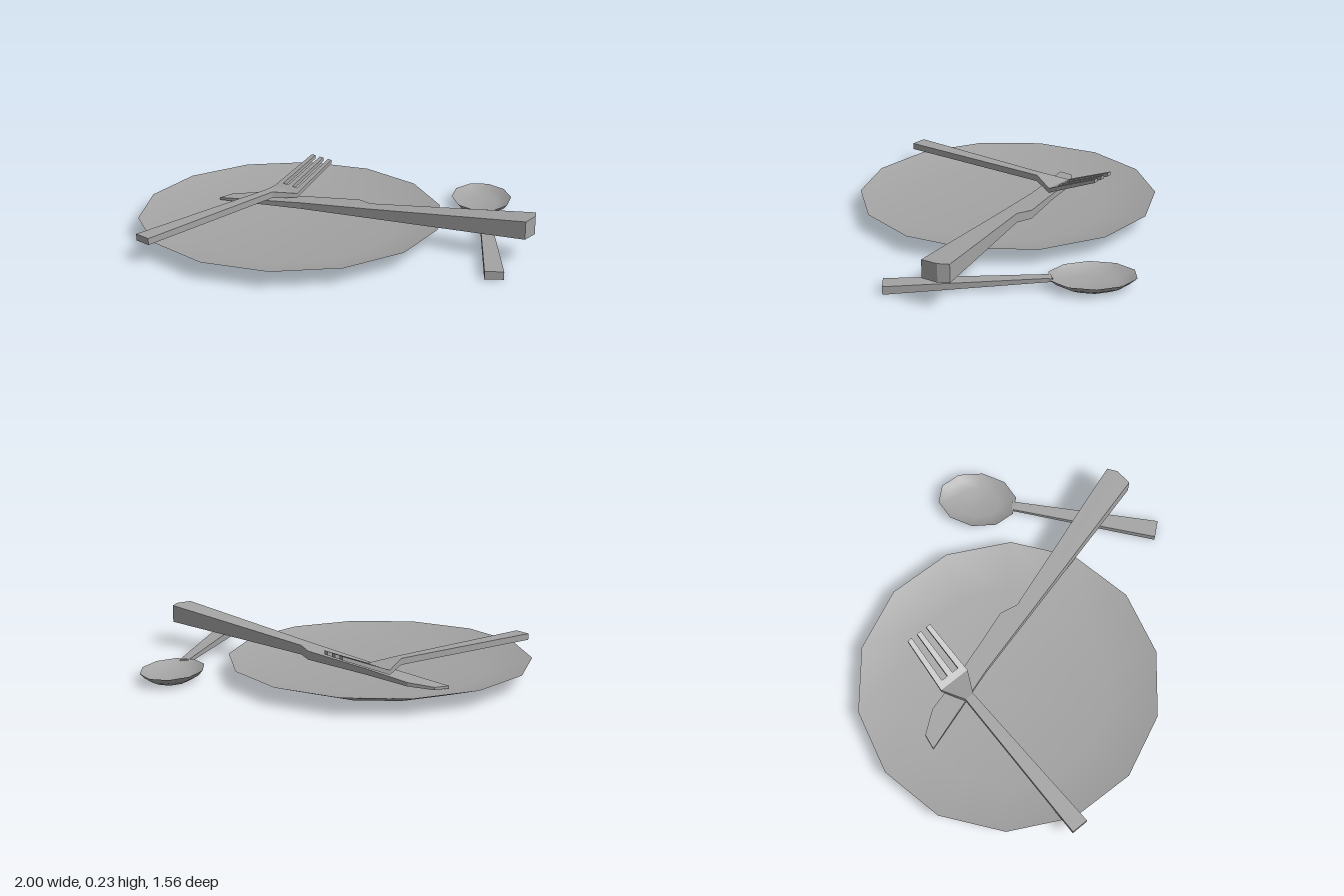
import * as THREE from 'three';

const metal = new THREE.MeshStandardMaterial({ color: 0xa3a3a3 });
metal.name = 'grey';

// Flat-faced slab: [x, z] outline with bottom and top heights from a rule
function slab(name, outline, heights) {
  const pts = outline.map(([x, z]) => new THREE.Vector2(x, -z));
  if (THREE.ShapeUtils.isClockWise(pts)) pts.reverse();
  const at = (i, top) => {
    const p = pts[i % pts.length];
    return [p.x, heights(p.x, -p.y)[top], -p.y];
  };
  const pos = [];
  for (const [a, b, c] of THREE.ShapeUtils.triangulateShape(pts, [])) {
    pos.push(...at(a, 1), ...at(b, 1), ...at(c, 1));
    pos.push(...at(a, 0), ...at(c, 0), ...at(b, 0));
  }
  for (let i = 0; i < pts.length; i++) {
    pos.push(...at(i, 0), ...at(i + 1, 0), ...at(i + 1, 1));
    pos.push(...at(i, 0), ...at(i + 1, 1), ...at(i, 1));
  }
  const geo = new THREE.BufferGeometry();
  geo.setAttribute('position', new THREE.Float32BufferAttribute(pos, 3));
  geo.computeVertexNormals();
  const mesh = new THREE.Mesh(geo, metal);
  mesh.name = name;
  return mesh;
}

// Smooth dish with a sharp rim: separate outer and inner surfaces
function dish(name, outer, inner, sides) {
  const group = new THREE.Group();
  group.name = name;
  [['Outside', outer], ['Inside', inner]].forEach(([part, profile]) => {
    const pts = profile.map(([r, y]) => new THREE.Vector2(r, y));
    const mesh = new THREE.Mesh(new THREE.LatheGeometry(pts, sides, Math.PI / 2), metal);
    mesh.name = name + part;
    group.add(mesh);
  });
  return group;
}

const lerp = THREE.MathUtils.lerp;
// Piecewise linear heights from stations [position, bottom, top]
function along(stations) {
  return (s) => {
    let i = 0;
    while (i < stations.length - 2 && s > stations[i + 1][0]) i++;
    const [a, b] = [stations[i], stations[i + 1]];
    const t = (s - a[0]) / (b[0] - a[0]);
    return [lerp(a[1], b[1], t), lerp(a[2], b[2], t)];
  };
}

function makeFork() {
  const fork = new THREE.Group();
  fork.name = 'fork';
  const h = along([[0, 0.1, 0.134], [0.87, 0.1, 0.134], [0.995, 0.083, 0.107], [1.278, 0.2, 0.22]]);
  fork.add(slab('forkHandle', [[0, -0.045], [0.87, -0.025], [0.87, 0.025], [0, 0.045]], h));
  fork.add(slab('forkNeck', [[0.87, -0.025], [0.995, -0.087], [0.995, 0.087], [0.87, 0.025]], h));
  fork.add(slab('forkHead', [[0.995, -0.087], [1.03, -0.085], [1.03, 0.085], [0.995, 0.087]], h));
  // three tines, narrowing to the tips
  for (const k of [-1, 0, 1]) {
    const a = k * 0.069, b = k * 0.06;
    fork.add(slab('forkTine', [[1.03, a - 0.016], [1.278, b - 0.013], [1.278, b + 0.013], [1.03, a + 0.016]], h));
  }
  fork.position.set(-0.971, 0, 0.35);
  fork.rotation.y = 0.703;
  return fork;
}

function makeKnife() {
  const knife = new THREE.Group();
  knife.name = 'knife';
  // distance from the tip along the knife sets the heights
  const rule = along([[0, 0.028, 0.041], [0.93, 0.083, 0.135], [1.75, 0.132, 0.225]]);
  const h = (x, z) => rule((x + 0.56) * 0.842 + (z + 0.39) * 0.539);
  const bolster = [[0.2, 0.024], [0.18, 0.11]];
  knife.add(slab('knifeHandle', [bolster[0], [0.95, 0.495], [0.935, 0.55], [0.87, 0.612], bolster[1]], h));
  knife.add(slab('knifeBlade', [[-0.56, -0.393], [-0.489, -0.436], [-0.355, -0.404], [-0.28, -0.35],
    [-0.14, -0.25], [0.157, -0.061], ...bolster, [-0.15, -0.13]], h));
  return knife;
}

function makeSpoon() {
  const spoon = new THREE.Group();
  spoon.name = 'spoon';
  const bowl = dish('spoonBowl',
    [[0, 0], [0.57, 0], [0.85, 0.026], [1, 0.054]],
    [[1, 0.054], [0.83, 0.034], [0.55, 0.013], [0, 0.009]], 10);
  bowl.scale.set(0.16, 1, 0.215);
  bowl.rotation.y = -0.16;
  bowl.position.set(0.84, 0, -0.2);
  const h = along([[-0.01, 0.034, 0.053], [0.78, 0, 0.041]]);
  spoon.add(bowl, slab('spoonHandle',
    [[0.785, -0.01], [0.832, -0.01], [0.732, 0.778], [0.64, 0.762]], (x, z) => h(z)));
  return spoon;
}

export function createModel() {
  const model = new THREE.Group();
  model.name = 'tableSetting';
  const plate = dish('plate',
    [[0, 0], [0.525, 0], [0.785, 0.088]],
    [[0.785, 0.088], [0.525, 0.02], [0, 0.016]], 14);
  plate.position.set(-0.21, 0, -0.015);
  model.add(plate, makeFork(), makeKnife(), makeSpoon());
  return model;
}
